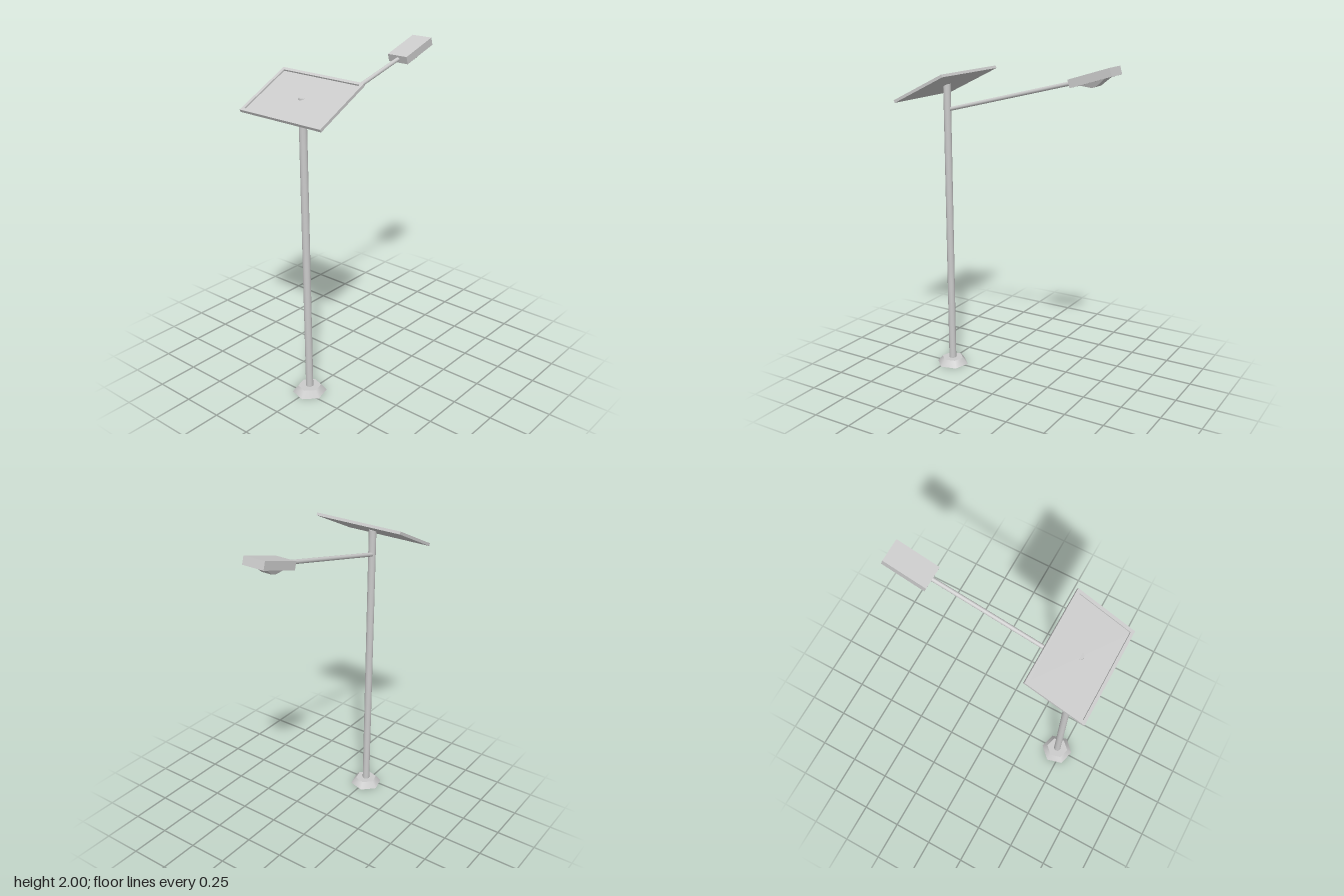
import * as THREE from 'three';

const material = new THREE.MeshStandardMaterial({ color: 0xcccccc });

function add(parent, name, geometry, x = 0, y = 0, z = 0) {
  const mesh = new THREE.Mesh(geometry, material);
  mesh.name = name;
  mesh.position.set(x, y, z);
  parent.add(mesh);
  return mesh;
}

// Rectangular rim lying flat: length along x, width along z, rising from y = 0
function rim(length, width, height, wall) {
  const rect = (path, l, w) => path
    .moveTo(-l / 2, -w / 2).lineTo(l / 2, -w / 2).lineTo(l / 2, w / 2).lineTo(-l / 2, w / 2).closePath();
  const shape = new THREE.Shape();
  rect(shape, length, width);
  const hole = new THREE.Path();
  rect(hole, length - 2 * wall, width - 2 * wall);
  shape.holes.push(hole);
  return new THREE.ExtrudeGeometry(shape, { depth: height, bevelEnabled: false }).rotateX(-Math.PI / 2);
}

// Round bar between two points
function bar(parent, name, from, to, radius) {
  const dir = to.clone().sub(from);
  const mesh = add(parent, name, new THREE.CylinderGeometry(radius, radius, dir.length(), 10));
  mesh.position.copy(from).addScaledVector(dir, 0.5);
  mesh.quaternion.setFromUnitVectors(new THREE.Vector3(0, 1, 0), dir.normalize());
}

// Box whose bottom face is shrunk and shifted along x into a tapered lens
function lensGeometry(length, width, depth) {
  const g = new THREE.BoxGeometry(length, depth, width);
  const p = g.attributes.position;
  for (let i = 0; i < p.count; i++) {
    if (p.getY(i) < 0) p.setXYZ(i, p.getX(i) * 0.14 - 0.005, p.getY(i), p.getZ(i) * 0.65);
  }
  g.computeVertexNormals();
  return g;
}

export function createModel() {
  const model = new THREE.Group();
  model.name = 'solarStreetLight';
  const poleX = -0.465;

  // Six-sided foot and upright pole
  const foot = add(model, 'foot', new THREE.CylinderGeometry(0.07, 0.1035, 0.04, 6), poleX, 0.02, 0);
  foot.rotation.y = Math.PI / 4;
  add(model, 'pole', new THREE.CylinderGeometry(0.023, 0.023, 1.82, 12), poleX, 0.93, 0);

  // Tilted solar panel: backing plate, raised rim
  const panel = new THREE.Group();
  panel.name = 'solarPanel';
  panel.position.set(-0.47, 1.84, -0.002);
  panel.rotation.z = 0.456;
  add(panel, 'panelPlate', new THREE.BoxGeometry(0.386, 0.008, 0.582), 0, -0.004, 0);
  add(panel, 'panelRim', rim(0.386, 0.582, 0.009, 0.019));
  model.add(panel);

  // Sloping arm from the pole to the lamp
  bar(model, 'arm', new THREE.Vector3(-0.455, 1.687, -0.006),
    new THREE.Vector3(0.41, 1.905, -0.012), 0.0125);

  // Lamp head, with its origin at the lower inner edge
  const head = new THREE.Group();
  head.name = 'lampHead';
  head.position.set(0.394, 1.876, -0.013);
  head.rotation.z = 0.3;
  add(head, 'lampHousing', new THREE.BoxGeometry(0.262, 0.038, 0.14), 0.131, 0.029, 0);
  add(head, 'lampRim', rim(0.262, 0.14, 0.01, 0.018), 0.131, 0, 0);
  add(head, 'lampLens', lensGeometry(0.2, 0.1, 0.04), 0.131, -0.01, 0);
  model.add(head);

  return model;
}
